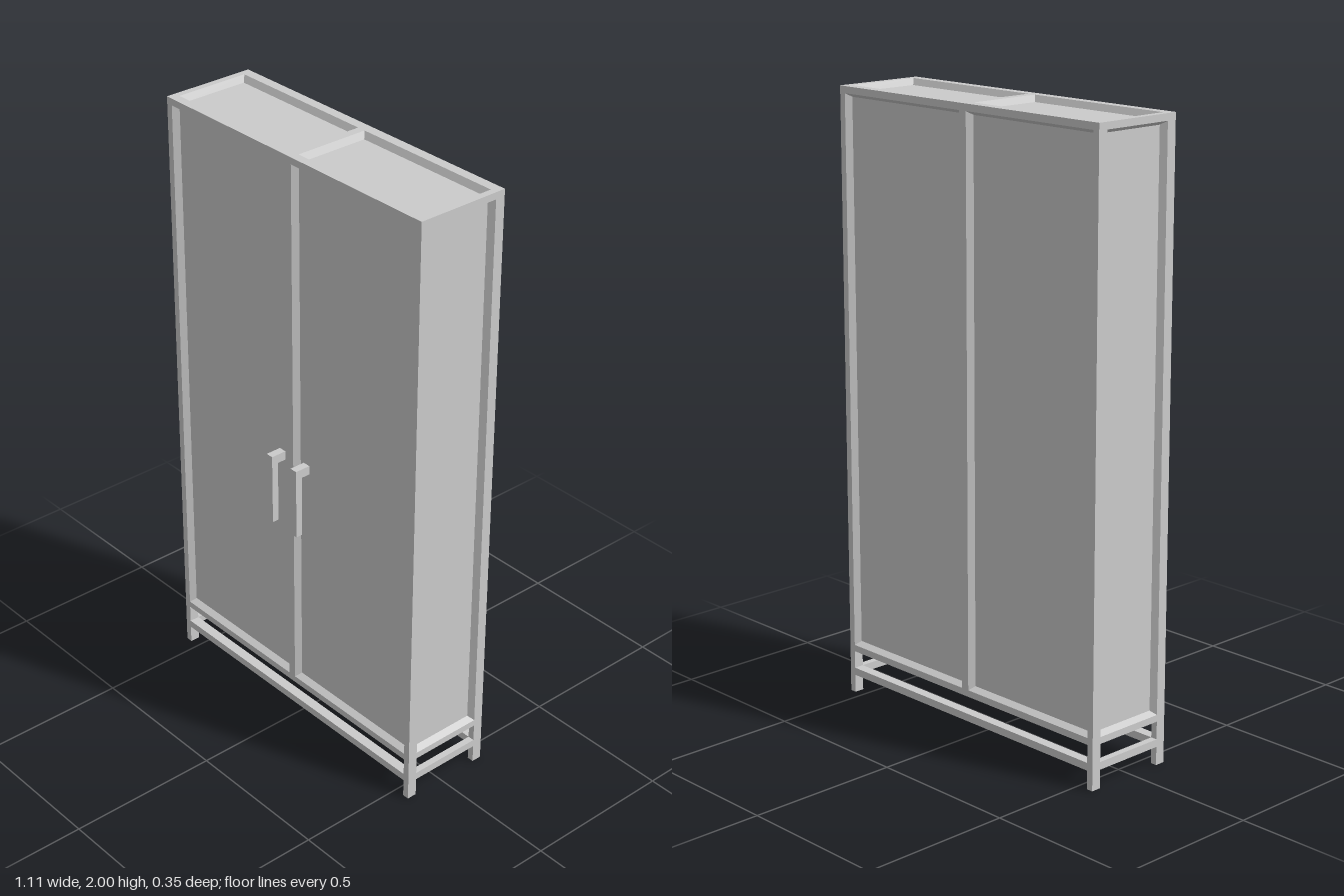
import * as THREE from 'three';

const X = 0.557, ZF = 0.14, ZB = -0.173, Y0 = 0.143, Y1 = 2;
const BAR = 0.022, POST = 0.033, MULLION = 0.014, DEPTH = 0.02, SLOPE = 0.012;

const material = new THREE.MeshStandardMaterial({ color: 0xcccccc, flatShading: true });

function addMesh(parent, name, geometry) {
  const mesh = new THREE.Mesh(geometry, material);
  mesh.name = name;
  parent.add(mesh);
  return mesh;
}

// Box given by its minimum and maximum corners
function addBox(parent, name, x0, x1, y0, y1, z0, z1) {
  const mesh = addMesh(parent, name, new THREE.BoxGeometry(x1 - x0, y1 - y0, z1 - z0));
  mesh.position.set((x0 + x1) / 2, (y0 + y1) / 2, (z0 + z1) / 2);
  return mesh;
}

function rectangle(PathType, [u0, u1, v0, v1]) {
  return new PathType([[u0, v0], [u1, v0], [u1, v1], [u0, v1]].map(p => new THREE.Vector2(...p)));
}

// Sunken panel with four sloping sides, facing +z
function recessGeometry([u0, u1, v0, v1]) {
  const ring = (inset, z) => [
    [u0 + inset, v0 + inset, z], [u1 - inset, v0 + inset, z],
    [u1 - inset, v1 - inset, z], [u0 + inset, v1 - inset, z],
  ];
  const outer = ring(0, 0), inner = ring(SLOPE, -DEPTH), points = [];
  const quad = (a, b, c, d) => points.push(...a, ...b, ...c, ...a, ...c, ...d);
  for (let i = 0; i < 4; i++) {
    const j = (i + 1) % 4;
    quad(outer[i], outer[j], inner[j], inner[i]);
  }
  quad(...inner);
  const geometry = new THREE.BufferGeometry();
  geometry.setAttribute('position', new THREE.Float32BufferAttribute(points, 3));
  geometry.computeVertexNormals();
  return geometry;
}

// One wall of the case: a flat frame with recessed panels in its openings
function addWall(parent, name, bounds, openings) {
  const wall = new THREE.Group();
  wall.name = name;
  const shape = rectangle(THREE.Shape, bounds);
  openings.forEach(o => shape.holes.push(rectangle(THREE.Path, o)));
  addMesh(wall, name + 'Frame', new THREE.ShapeGeometry(shape));
  openings.forEach(o => addMesh(wall, name + 'Panel', recessGeometry(o)));
  parent.add(wall);
  return wall;
}

export function createModel() {
  const model = new THREE.Group();
  model.name = 'cabinet';

  // Two openings side by side, used on the front, back, top and bottom
  const pair = (v0, v1) => [[-X + BAR, -MULLION, v0, v1], [MULLION, X - BAR, v0, v1]];

  // Front doors and back
  const upright = pair(Y0 + BAR, Y1 - BAR);
  addWall(model, 'front', [-X, X, Y0, Y1], upright).position.z = ZF;
  const back = addWall(model, 'back', [-X, X, Y0, Y1], upright);
  back.rotation.y = Math.PI;
  back.position.z = ZB;

  // Top and bottom
  const top = addWall(model, 'top', [-X, X, -ZF, -ZB], pair(-ZF + POST - 0.003, -ZB - POST));
  top.rotation.x = -Math.PI / 2;
  top.position.y = Y1;
  const bottom = addWall(model, 'bottom', [-X, X, ZB, ZF], pair(ZB + POST, ZF - POST + 0.003));
  bottom.rotation.x = Math.PI / 2;
  bottom.position.y = Y0;

  // Sides
  for (const s of [-1, 1]) {
    const ends = [-s * ZF, -s * ZB].sort((a, b) => a - b);
    const side = addWall(model, s > 0 ? 'leftSide' : 'rightSide', [...ends, Y0, Y1],
      [[ends[0] + POST, ends[1] - POST, Y0 + BAR, Y1 - BAR]]);
    side.rotation.y = s * Math.PI / 2;
    side.position.x = s * X;
  }

  // Legs and lower stretchers
  const base = new THREE.Group();
  base.name = 'base';
  model.add(base);
  const low = 0.06, high = 0.085;
  for (const s of [-1, 1]) {
    const x0 = s > 0 ? X - BAR : -X, x1 = x0 + BAR;
    addBox(base, 'frontLeg', x0, x1, 0, Y0, ZF - POST, ZF);
    addBox(base, 'backLeg', x0, x1, 0, Y0, ZB, ZB + POST);
    addBox(base, 'sideStretcher', x0, x1, low, high, ZB + POST, ZF - POST);
  }
  addBox(base, 'frontStretcher', -X + BAR, X - BAR, low, high, ZF - POST, ZF);
  addBox(base, 'backStretcher', -X + BAR, X - BAR, low, high, ZB, ZB + POST);

  // Hooked door handles, each held by a bracket at the top
  for (const x of [-0.06, 0.053]) {
    const profile = new THREE.Shape([
      [0.12, 0.985], [0.12, 0.955], [0.15, 0.955], [0.15, 0.747], [0.173, 0.747], [0.173, 0.985],
    ].map(p => new THREE.Vector2(...p)));
    const geometry = new THREE.ExtrudeGeometry(profile, { depth: 0.026, bevelEnabled: false });
    const handle = addMesh(model, 'handle', geometry);
    handle.rotation.y = -Math.PI / 2;
    handle.position.x = x + 0.013;
  }
  return model;
}
